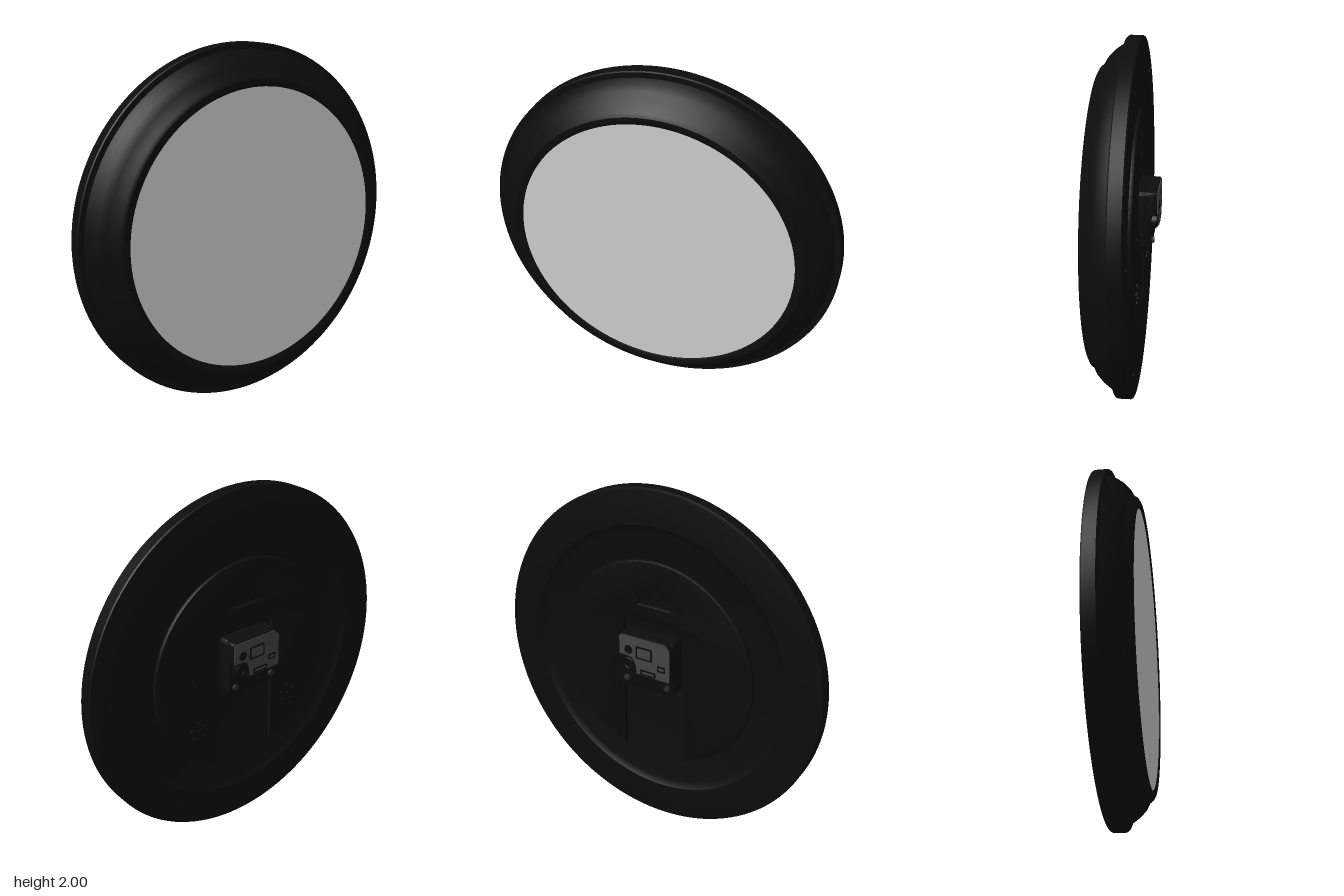
import * as THREE from 'three';
import { toCreasedNormals } from 'three/addons/utils/BufferGeometryUtils.js';

const mat = (name, color) => {
  const m = new THREE.MeshStandardMaterial({ color });
  m.name = name;
  return m;
};

export function createModel() {
  const black = mat('black plastic', 0x0c0c0c);
  const screenGrey = mat('screen grey', 0xd0d0d0);
  const plateGrey = mat('port plate grey', 0x424242);
  const metal = mat('screw metal', 0x2a2a2a);

  // Everything is built around the disc centre, then lifted onto y = 0
  const group = new THREE.Group();
  const add = (name, geo, material, x = 0, y = 0, z = 0) => {
    const mesh = new THREE.Mesh(geo, material);
    mesh.name = name;
    mesh.position.set(x, y + 1, z);
    group.add(mesh);
    return mesh;
  };
  // Slab between two z values, with a bevel that keeps the outline
  const slab = (shape, z0, z1, bevel = 0) => {
    const geo = new THREE.ExtrudeGeometry(shape, {
      depth: z1 - z0 - 2 * bevel, bevelEnabled: bevel > 0, bevelThickness: bevel,
      bevelSize: bevel, bevelOffset: -bevel, bevelSegments: 2, curveSegments: 64,
    });
    geo.translate(0, 0, z0 + bevel);
    return toCreasedNormals(geo, 0.5);
  };
  const roundedRect = (cx, cy, w, h, r) => {
    const s = new THREE.Shape(), a = w / 2 - r, b = h / 2 - r;
    s.absarc(cx + a, cy + b, r, 0, Math.PI / 2);
    s.absarc(cx - a, cy + b, r, Math.PI / 2, Math.PI);
    s.absarc(cx - a, cy - b, r, Math.PI, Math.PI * 1.5);
    s.absarc(cx + a, cy - b, r, Math.PI * 1.5, Math.PI * 2);
    s.closePath();
    return s;
  };
  const stud = (r, depth) => new THREE.CylinderGeometry(r, r, depth, 16).rotateX(Math.PI / 2);

  // Housing: back dish, rim, coved bezel and front lip in one profile of (radius, z)
  const profile = [
    [0, -0.045], [0.76, -0.045], [0.78, -0.05], [0.8, -0.062], [0.985, -0.062], [0.996, -0.06],
    [1, -0.053], [1, 0.013], [0.995, 0.02], [0.965, 0.02], [0.95, 0.05], [0.925, 0.085],
    [0.89, 0.118], [0.852, 0.138], [0.838, 0.158], [0.82, 0.168], [0.79, 0.168],
    [0.78, 0.163], [0.78, 0.15],
  ].map(([r, z]) => new THREE.Vector2(r, z));
  const housing = new THREE.LatheGeometry(profile, 128).rotateX(Math.PI / 2);
  add('housing', toCreasedNormals(housing, 0.5), black);
  add('screen', new THREE.CircleGeometry(0.785, 128), screenGrey, 0, 0, 0.16);

  // Raised back panel, open at the bottom for the cable channel
  const R = 0.61, w = 0.195, start = -Math.acos(w / R);
  const panel = new THREE.Shape();
  panel.absarc(0, 0, R, start, Math.PI - start, false);
  panel.lineTo(-w, 0.2);
  panel.quadraticCurveTo(-w, 0.25, -0.145, 0.25);
  panel.lineTo(0.145, 0.25);
  panel.quadraticCurveTo(w, 0.25, w, 0.2);
  panel.closePath();
  // Keyhole for wall hanging
  const keyhole = new THREE.Path();
  keyhole.moveTo(-0.1, 0.35);
  keyhole.lineTo(0.1, 0.35);
  keyhole.quadraticCurveTo(0.1, 0.39, 0.05, 0.395);
  keyhole.quadraticCurveTo(0.03, 0.44, 0, 0.44);
  keyhole.quadraticCurveTo(-0.03, 0.44, -0.05, 0.395);
  keyhole.quadraticCurveTo(-0.1, 0.39, -0.1, 0.35);
  panel.holes.push(keyhole);
  add('backPanel', slab(panel, -0.066, -0.03, 0.01), black);

  // Speaker dots and panel screws, mirrored left and right
  for (const side of [-1, 1]) {
    for (let i = 0; i < 6; i++) {
      const a = Math.PI / 2 + (i * Math.PI * 2) / 5, r = i < 5 ? 0.05 : 0;
      add('speakerDot', stud(0.012, 0.012), black,
        side * 0.33 + r * Math.cos(a), -0.32 + r * Math.sin(a), -0.065);
    }
    add('panelScrew', stud(0.014, 0.006), black, side * 0.36, 0, -0.065);
  }
  // Rim screws
  for (let i = 0; i < 6; i++) {
    const a = ((3 + 60 * i) * Math.PI) / 180;
    add('rimScrew', stud(0.014, 0.006), black, 0.875 * Math.cos(a), 0.875 * Math.sin(a), -0.061);
  }

  // Connector module: base block, upper block and port plate, notched for the power jack
  add('moduleBase', slab(roundedRect(0, 0.035, 0.33, 0.33, 0.025), -0.13, -0.03, 0.008), black);
  const plateOutline = (inset) => {
    const s = new THREE.Shape(), e = 0.165 - inset, top = 0.2 - inset, low = -0.03 + inset;
    s.moveTo(-e, low);
    s.lineTo(0.055 - inset, low);
    s.quadraticCurveTo(0.055 - inset, 0.07 + inset, 0.11, 0.07 + inset);
    s.lineTo(e, 0.07 + inset);
    s.lineTo(e, top - 0.02);
    s.quadraticCurveTo(e, top, e - 0.02, top);
    s.lineTo(-e + 0.03, top);
    s.lineTo(-e, top - 0.03);
    s.closePath();
    return s;
  };
  add('moduleBlock', slab(plateOutline(0), -0.16, -0.1, 0.005), black);
  add('portPlate', slab(plateOutline(0.006), -0.165, -0.159), plateGrey);

  // Ports: dark outlined openings on the plate
  const port = (name, cx, cy, pw, ph) => {
    add(name, slab(roundedRect(cx, cy, pw, ph, 0.006), -0.167, -0.164), black);
    add(name + 'Inset',
      slab(roundedRect(cx, cy, pw - 0.02, ph - 0.02, 0.003), -0.168, -0.166), plateGrey);
  };
  port('networkPort', 0, 0.11, 0.105, 0.075);
  port('smallPort', -0.11, 0.045, 0.052, 0.036);
  port('videoPort', -0.025, -0.005, 0.1, 0.032);
  add('audioPort', stud(0.026, 0.004), black, 0.1, 0.113, -0.165);

  // Power jack and module screws
  add('powerJack', new THREE.CylinderGeometry(0.036, 0.042, 0.03, 32).rotateX(Math.PI / 2),
    black, 0.108, 0.022, -0.14);
  add('jackRing', new THREE.TorusGeometry(0.03, 0.006, 8, 32), black, 0.108, 0.022, -0.155);
  for (const side of [-1, 1])
    add('moduleScrew', stud(0.016, 0.02), metal, side * 0.13, -0.08, -0.135);

  return group;
}
